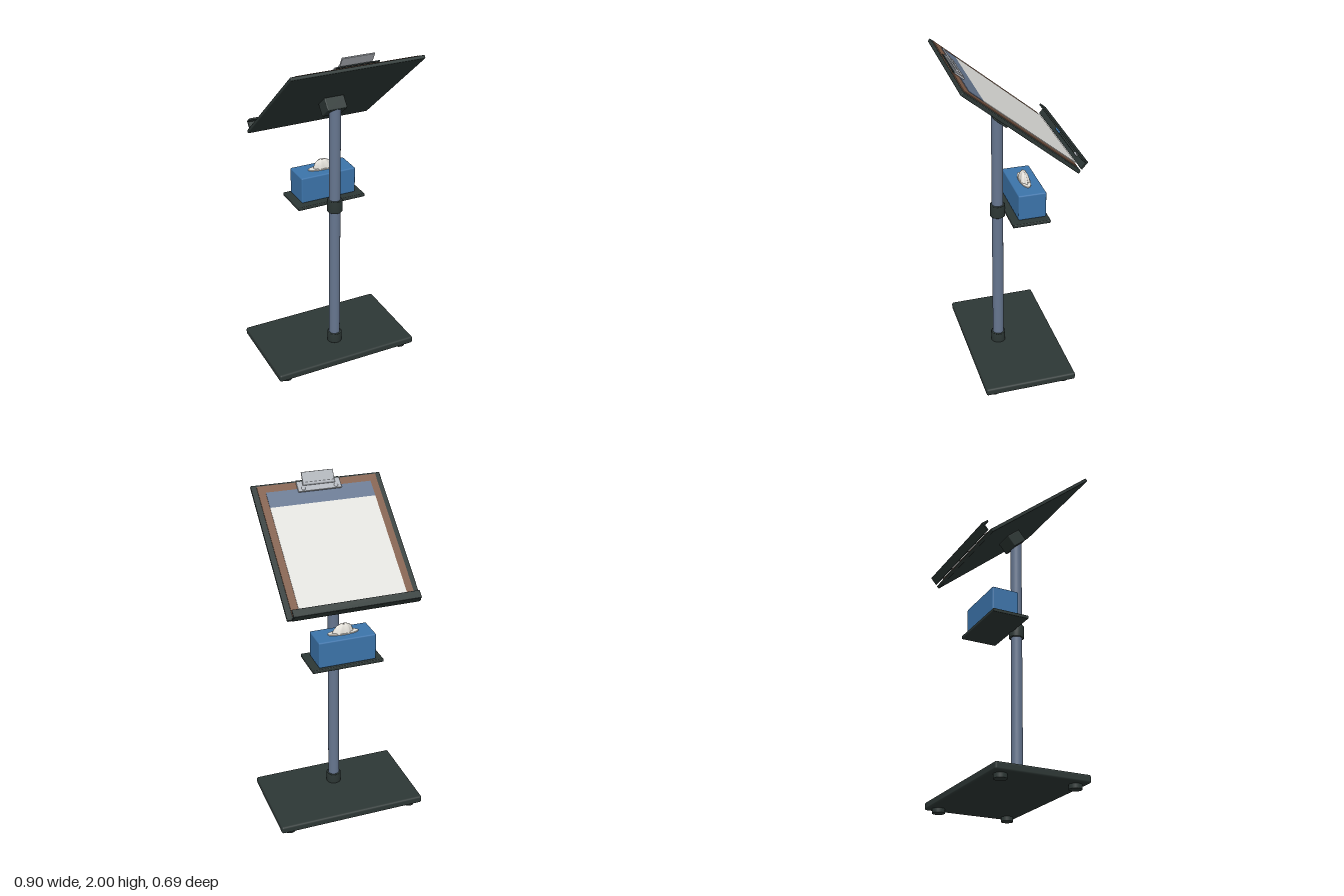
import * as THREE from 'three';
import { RoundedBoxGeometry } from 'three/addons/geometries/RoundedBoxGeometry.js';

const mat = (name, color, side = THREE.FrontSide) => {
  const m = new THREE.MeshStandardMaterial({ color, side });
  m.name = name;
  return m;
};

export function createModel() {
  const dark = mat('charcoal', 0x2d3735);
  const steel = mat('blueGrey', 0x66768f);
  const blue = mat('boxBlue', 0x3c74aa);
  const brown = mat('hardboardBrown', 0x7f5c48);
  const paper = mat('paper', 0xdededa);
  const metal = mat('clipMetal', 0xb0b4ba);
  const tissueMat = mat('tissue', 0xe4e1da, THREE.DoubleSide);

  const model = new THREE.Group();
  model.name = 'clipboardStand';

  const add = (parent, name, geometry, material, x, y, z) => {
    const mesh = new THREE.Mesh(geometry, material);
    mesh.name = name;
    mesh.position.set(x, y, z);
    parent.add(mesh);
    return mesh;
  };
  const box = (w, h, d, r = 0) =>
    r ? new RoundedBoxGeometry(w, h, d, 2, r) : new THREE.BoxGeometry(w, h, d);
  const cyl = (r, h, n = 32) => new THREE.CylinderGeometry(r, r, h, n);
  // Round sleeve with chamfered rims
  const sleeve = (r, h) => new THREE.LatheGeometry(
    [[0, -h / 2], [r - 0.004, -h / 2], [r, -h / 2 + 0.004], [r, h / 2 - 0.004], [r - 0.004, h / 2], [0, h / 2]]
      .map(([a, b]) => new THREE.Vector2(a, b)), 32);

  // Base plate and feet
  add(model, 'basePlate', box(0.9, 0.045, 0.55, 0.012), dark, 0, 0.0475, -0.025);
  for (const x of [-0.385, 0.385])
    for (const z of [-0.24, 0.19]) add(model, 'foot', cyl(0.036, 0.03, 24), dark, x, 0.015, z);

  // Pole with collars
  const poleZ = 0.055;
  add(model, 'pole', cyl(0.033, 1.55), steel, 0, 0.845, poleZ);
  add(model, 'baseCollar', sleeve(0.044, 0.066), dark, 0, 0.102, poleZ);
  add(model, 'trayCollar', sleeve(0.044, 0.078), dark, 0, 1.017, poleZ);

  // Tray and tissue box
  add(model, 'tray', box(0.425, 0.02, 0.222, 0.005), dark, 0, 1.018, -0.089);
  add(model, 'tissueBox', box(0.342, 0.158, 0.164, 0.008), blue, 0, 1.107, -0.103);
  const slot = add(model, 'tissueSlot', cyl(0.092, 0.006), tissueMat, 0, 1.189, -0.103);
  slot.scale.z = 0.33;

  // Pulled tissue: an oval tuft with pleats
  const tuft = new THREE.LatheGeometry(
    [[0.056, 0], [0.05, 0.02], [0.036, 0.042], [0.018, 0.052], [0.001, 0.049]]
      .map(([a, b]) => new THREE.Vector2(a, b)), 24);
  const p = tuft.attributes.position;
  for (let i = 0; i < p.count; i++) {
    const x = p.getX(i), z = p.getZ(i);
    const k = 1 + 0.14 * Math.cos(6 * Math.atan2(z, x));
    p.setXYZ(i, x * k - p.getY(i) * 0.15, p.getY(i), z * k * 0.48);
  }
  tuft.computeVertexNormals();
  add(model, 'tissue', tuft, tissueMat, 0.003, 1.191, -0.103);

  // Tilted desk: local y is the face normal, local +z runs to the upper edge
  const desk = new THREE.Group();
  desk.name = 'tiltedDesk';
  desk.position.set(0, 1.675, 0.022);
  desk.rotation.x = -40 * Math.PI / 180;
  model.add(desk);
  add(desk, 'deskPanel', box(0.766, 0.02, 0.828, 0.005), dark, 0, 0, 0);
  add(desk, 'clipboard', box(0.704, 0.006, 0.795), brown, 0, 0.012, 0.003);
  add(desk, 'sheet', box(0.62, 0.003, 0.658), paper, 0, 0.0165, -0.071);
  add(desk, 'sheetHeader', box(0.62, 0.003, 0.098), steel, 0, 0.0165, 0.307);
  add(desk, 'pivotBracket', box(0.12, 0.076, 0.1, 0.006), dark, 0, -0.047, -0.029);
  const bolt = add(desk, 'pivotBolt', cyl(0.022, 0.11, 24), dark, 0, -0.05, -0.029);
  bolt.rotation.z = Math.PI / 2;

  // Pen ledge with its return lip
  add(desk, 'ledgeFloor', box(0.726, 0.052, 0.011, 0.003), dark, 0, 0.041, -0.421);
  add(desk, 'ledgeLip', box(0.726, 0.011, 0.046, 0.003), dark, 0, 0.062, -0.404);
  for (const [name, m, x, len] of [['penBarrel', dark, 0.085, 0.3], ['penGrip', blue, -0.043, 0.065], ['penTip', metal, 0.25, 0.03]]) {
    const pen = add(desk, name, cyl(m === dark ? 0.005 : 0.006, len, 16), m, x, 0.046, -0.405);
    pen.rotation.z = Math.PI / 2;
  }

  // Clip with rivets, spring fold and raised handle
  add(desk, 'clipPlate', box(0.256, 0.011, 0.064, 0.003), metal, 0, 0.0225, 0.364);
  add(desk, 'clipBacking', box(0.25, 0.006, 0.016), dark, 0, 0.02, 0.399);
  for (const x of [-0.096, 0.096]) {
    const rivet = add(desk, 'rivet', new THREE.SphereGeometry(0.012, 20, 8, 0, Math.PI * 2, 0, Math.PI / 2), metal, x, 0.027, 0.35);
    rivet.scale.y = 0.5;
  }
  const fold = add(desk, 'clipFold', cyl(0.009, 0.19, 20), metal, 0, 0.03, 0.377);
  fold.rotation.z = Math.PI / 2;
  const handle = add(model, 'clipHandle', box(0.188, 0.076, 0.009, 0.003), metal, 0, 1.9655, 0.304);
  handle.rotation.x = 0.5;

  return model;
}
